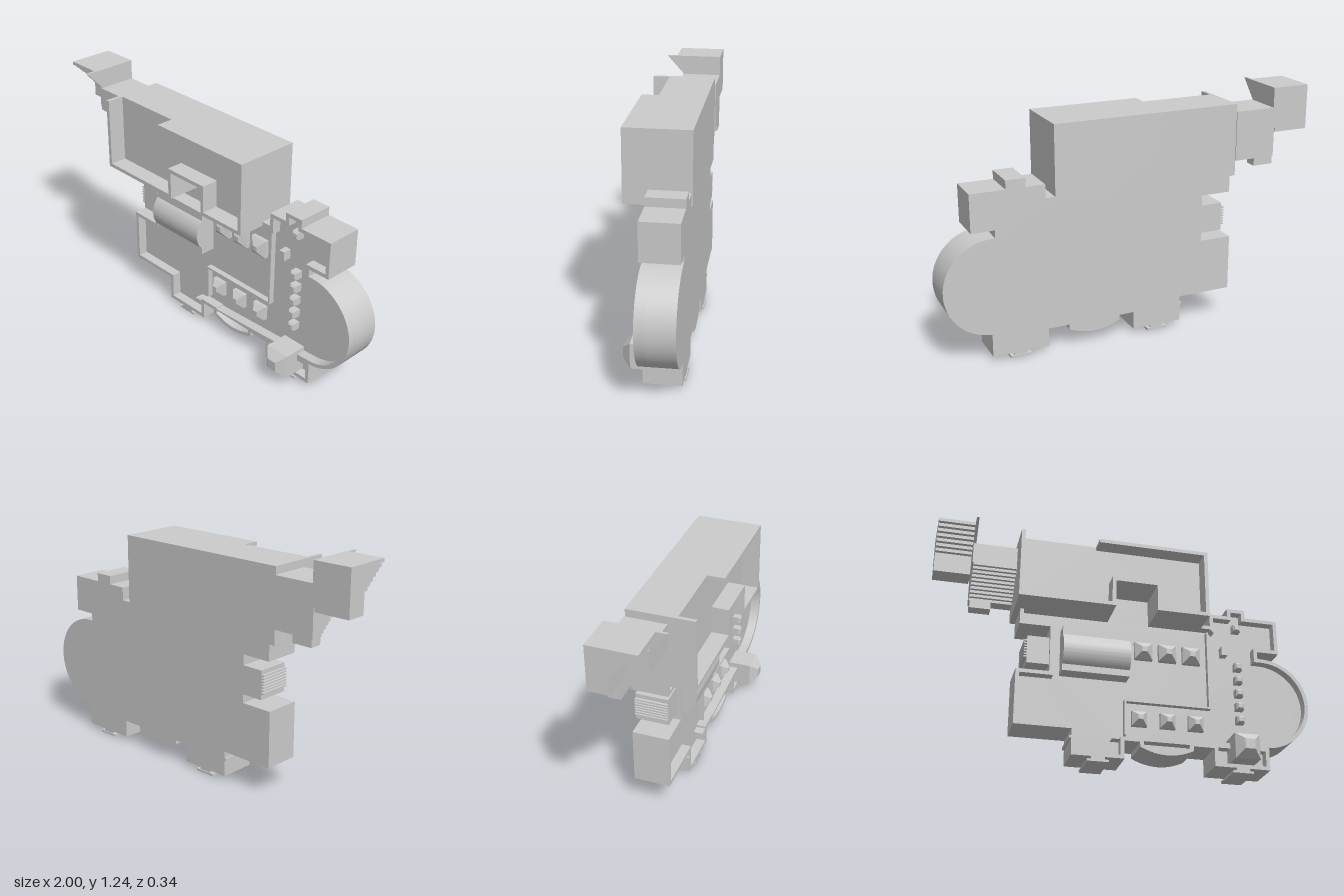
import * as THREE from 'three';
import { toCreasedNormals } from 'three/addons/utils/BufferGeometryUtils.js';

const BACK = -0.17, FLOOR = -0.03, RIM = 0.02, HALL_FLOOR = 0.08, HALL_RIM = 0.17, WALL = 0.02;

export function createModel() {
  const model = new THREE.Group();
  const material = new THREE.MeshStandardMaterial({ color: 0xcccccc });

  const add = (name, geometry, parent = model) => {
    const mesh = new THREE.Mesh(geometry, material);
    mesh.name = name;
    parent.add(mesh);
    return mesh;
  };
  const group = (name) => {
    const g = new THREE.Group();
    g.name = name;
    model.add(g);
    return g;
  };
  const box = (name, x0, x1, y0, y1, z0, z1, parent) =>
    add(name, new THREE.BoxGeometry(x1 - x0, y1 - y0, z1 - z0)
      .translate((x0 + x1) / 2, (y0 + y1) / 2, (z0 + z1) / 2), parent);
  const toShape = (pts) => new THREE.Shape(pts.map(([x, y]) => new THREE.Vector2(x, y)));

  // Plan outline raised along z
  const slab = (name, pts, z0, z1) => {
    const g = new THREE.ExtrudeGeometry(toShape(pts), { depth: z1 - z0, bevelEnabled: false });
    return add(name, toCreasedNormals(g.translate(0, 0, z0), 0.5));
  };
  // Side profile of [z, y] points swept along x
  const sweep = (name, pts, x0, x1, parent) => {
    const g = new THREE.ExtrudeGeometry(toShape(pts), { depth: x1 - x0, bevelEnabled: false });
    return add(name, toCreasedNormals(g.rotateY(-Math.PI / 2).translate(x1, 0, 0), 0.5), parent);
  };
  // Mitred inward offset of a counter-clockwise outline
  const inset = (pts, d) => pts.map((p, i) => {
    const a = pts[(i + pts.length - 1) % pts.length], b = pts[(i + 1) % pts.length];
    const normal = (s, e) => {
      const l = Math.hypot(e[0] - s[0], e[1] - s[1]);
      return [-(e[1] - s[1]) / l, (e[0] - s[0]) / l];
    };
    const m = normal(a, p), n = normal(p, b);
    const k = d / (1 + m[0] * n[0] + m[1] * n[1]);
    return [p[0] + (m[0] + n[0]) * k, p[1] + (m[1] + n[1]) * k];
  });
  // Parapet along an outline, left open between its last and first points
  const parapet = (name, pts, z0, z1) => {
    const inner = inset(pts, WALL);
    inner[0][1] = pts[0][1];
    slab(name, [...pts, ...inner.reverse()], z0, z1);
  };
  // Square block with a hipped top
  const hipped = (name, x, y, half, topHalf, z0, z1, z2, parent) => {
    box(name + 'Base', x - half, x + half, y - half, y + half, z0, z1, parent);
    const g = new THREE.CylinderGeometry(topHalf * Math.SQRT2, half * Math.SQRT2, z2 - z1, 4, 1)
      .rotateY(Math.PI / 4).rotateX(Math.PI / 2).translate(x, y, (z1 + z2) / 2);
    add(name + 'Top', toCreasedNormals(g, 0.2), parent);
  };

  // Main building: bowed bay below, half-round apse on the left side
  const bay = [], apse = [];
  for (let i = 0; i <= 12; i++) {
    const t = i / 6 - 1;
    bay.push([0.22 + 0.14 * t, 0.06 + 0.035 * t * t]);
  }
  for (let i = 0; i <= 32; i++) {
    const a = Math.PI * (i / 32 - 0.5);
    apse.push([0.75 + 0.25 * Math.cos(a), 0.395 + 0.25 * Math.sin(a)]);
  }
  const outline = [
    [-0.55, 0.79], [-0.55, 0.705], [-0.39, 0.705], [-0.39, 0.455], [-0.56, 0.455], [-0.56, 0.16],
    [-0.27, 0.16], [-0.27, 0.025], [0, 0.025], [0, 0.12], [0.08, 0.12],
    ...bay, [0.36, 0.12], [0.47, 0.12], [0.47, 0.025], [0.765, 0.025], [0.765, 0.145],
    ...apse, [0.73, 0.645], [0.73, 0.685], [0.85, 0.685], [0.85, 0.88],
    [0.67, 0.88], [0.67, 0.925], [0.57, 0.925], [0.57, 0.88], [0.47, 0.88], [0.47, 0.79],
  ];
  slab('mainBody', outline, BACK, FLOOR);
  parapet('mainParapet', outline, FLOOR, RIM);
  box('notchFloor', -0.08, 0.14, 0.78, 0.935, BACK, FLOOR);
  box('rightCornerPier', -0.28, -0.27, 0.11, 0.125, BACK, RIM);
  for (const x of [-0.135, 0.62]) {
    box('entranceSill', x - 0.055, x + 0.055, 0, 0.012, -0.175, RIM);
    box('entranceStep', x - 0.035, x + 0.035, 0.012, 0.03, BACK, RIM);
  }

  // Thin wall dividing the roof levels
  const ridge = group('roofDivider');
  box('dividerLower', 0.005, 0.015, 0.16, 0.35, FLOOR, 0, ridge);
  box('dividerMiddle', 0.005, 0.465, 0.34, 0.35, FLOOR, 0, ridge);
  box('dividerUpper', 0.455, 0.465, 0.35, 0.78, FLOOR, 0, ridge);

  // Tall hall with a notch in its lower wall and a gap in its upper wall
  const hall = [
    [-0.58, 1.17], [-0.58, 0.79], [-0.08, 0.79], [-0.08, 0.935], [0.14, 0.935], [0.14, 0.79],
    [0.42, 0.79], [0.42, 1.17], [-0.17, 1.17],
  ];
  slab('hallBody', hall, BACK, HALL_FLOOR);
  parapet('hallParapet', hall, HALL_FLOOR, HALL_RIM);
  box('hallCornerLink', 0.42, 0.47, 0.79, 0.81, BACK, RIM);

  // Barrel vault with flat flanges
  const vault = [[FLOOR, 0.455], [0.05, 0.455], [0.05, 0.49]];
  for (let i = 1; i < 24; i++) {
    const t = i / 12 - 1;
    vault.push([-0.031 + Math.sqrt(0.0135 - (0.0825 * t) ** 2), 0.5725 + 0.0825 * t]);
  }
  vault.push([0.05, 0.655], [0.05, 0.7], [FLOOR, 0.7]);
  sweep('barrelVault', vault, -0.33, 0.02);

  // Rooftop skylights, vents and tower
  const lights = group('skylights');
  for (const x of [0.11, 0.24, 0.37]) hipped('upperSkylight', x, 0.635, 0.048, 0.014, FLOOR, -0.01, 0.02, lights);
  for (const x of [0.085, 0.235, 0.385]) hipped('lowerSkylight', x, 0.255, 0.04, 0.012, FLOOR, -0.01, 0.02, lights);
  const vents = group('roofVents');
  for (const y of [0.295, 0.37, 0.445, 0.52, 0.595, 0.82]) hipped('vent', 0.625, y, 0.02, 0.011, FLOOR, 0.005, 0.015, vents);
  box('ventBox', 0.532, 0.565, 0.65, 0.7, FLOOR, 0.015, vents);
  hipped('tower', 0.62, 0.118, 0.066, 0.026, FLOOR, 0.095, 0.135, group('cornerTower'));

  // Side entrance with a ribbed end
  const entrance = group('sideEntrance');
  box('entranceBlock', -0.505, -0.39, 0.5, 0.65, BACK, 0, entrance);
  for (let i = 0; i < 7; i++) {
    const y = 0.53 + i * 0.015;
    box('entranceRib', -0.52, -0.505, y, y + 0.008, BACK, 0, entrance);
  }

  // Stepped undersides of the far annex and its link
  const steps = (back, front, foot, top, bottom, count) => {
    const pts = [[back, top], [back, bottom], [foot, bottom]];
    for (let i = 0; i < count; i++) {
      const z = foot + (front - foot) * (i + 1) / count;
      const y = bottom + (top - bottom) * (i + 1) / (count + 1);
      pts.push([foot + (front - foot) * i / count, y], [z, y]);
    }
    pts.push([front, top]);
    return pts;
  };
  const annex = group('annex');
  box('linkBody', -0.81, -0.58, 1.02, 1.13, -0.175, 0.035, annex);
  sweep('linkSteps', steps(-0.175, 0.035, -0.11, 1.02, 0.87, 9), -0.805, -0.58, annex);
  box('linkFoot', -0.8, -0.69, 0.83, 0.87, -0.175, -0.11, annex);
  box('annexBody', -1, -0.81, 1.0, 1.09, -0.175, -0.07, annex);
  sweep('annexSteps', steps(-0.175, 0.07, -0.07, 1.235, 1.09, 7), -1, -0.81, annex);
  sweep('annexFin', [[-0.175, 1.235], [-0.175, 1.02], [-0.07, 1.02], [0.125, 1.235]], -0.81, -0.797, annex);

  return model;
}
